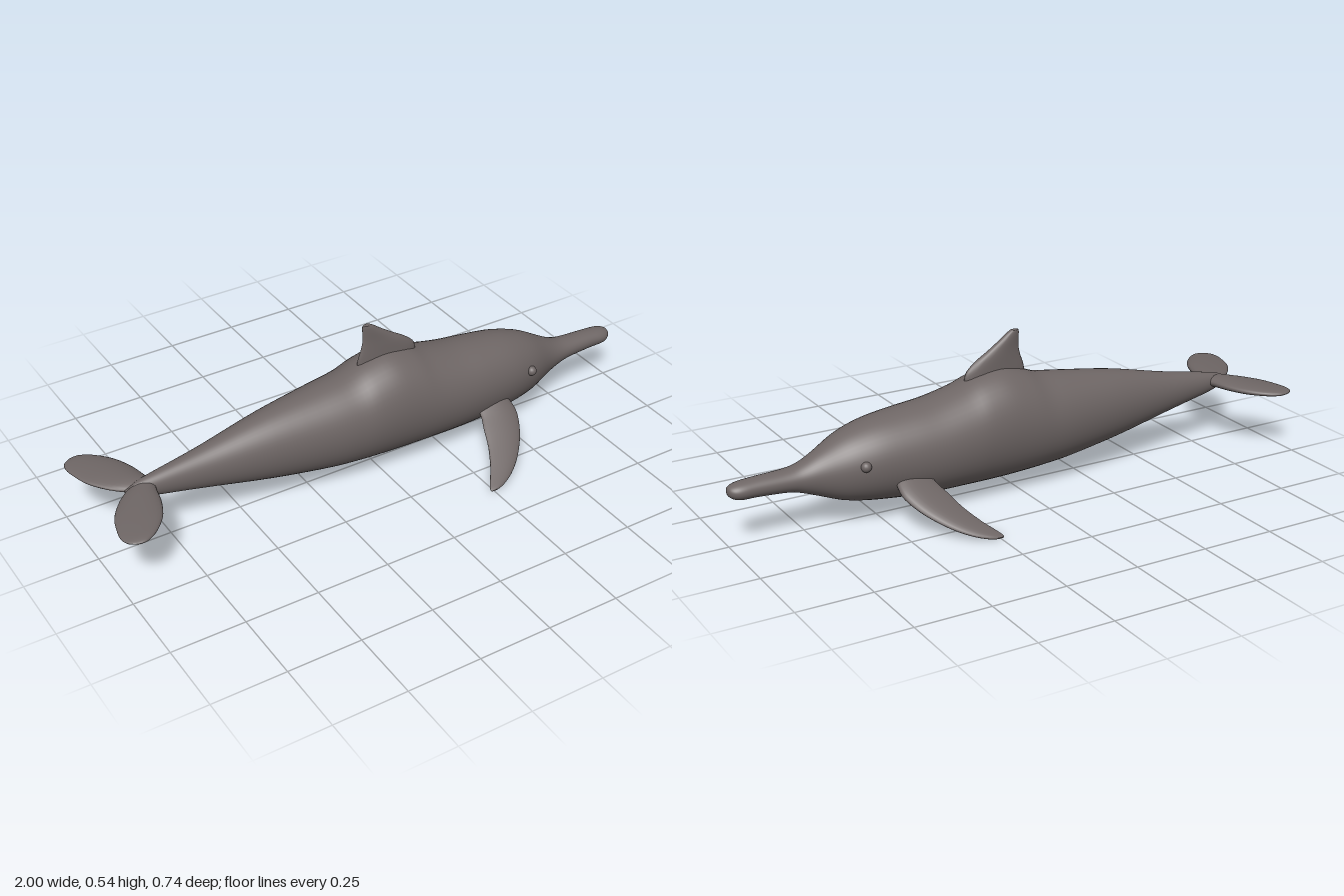
import * as THREE from 'three';

// Closed smooth skin over a list of equal-length rings of Vector3
function loft(rings) {
  const n = rings[0].length, pos = [], idx = [];
  rings.forEach(r => r.forEach(p => pos.push(p.x, p.y, p.z)));
  for (let i = 0; i < rings.length - 1; i++) {
    for (let j = 0; j < n; j++) {
      const a = i * n + j, b = i * n + (j + 1) % n;
      idx.push(a, b, a + n, b, b + n, a + n);
    }
  }
  // end caps
  [0, rings.length - 1].forEach((k, e) => {
    const c = new THREE.Vector3();
    rings[k].forEach(p => c.addScaledVector(p, 1 / n));
    const ci = pos.length / 3;
    pos.push(c.x, c.y, c.z);
    for (let j = 0; j < n; j++) {
      const a = k * n + j, b = k * n + (j + 1) % n;
      if (e) idx.push(a, b, ci); else idx.push(b, a, ci);
    }
  });
  // face outward whichever way the rings run
  const v = i => new THREE.Vector3().fromArray(pos, i * 3);
  let volume = 0;
  for (let i = 0; i < idx.length; i += 3) volume += v(idx[i]).dot(v(idx[i + 1]).cross(v(idx[i + 2])));
  if (volume < 0) idx.reverse();
  const g = new THREE.BufferGeometry();
  g.setAttribute('position', new THREE.Float32BufferAttribute(pos, 3));
  g.setIndex(idx);
  g.computeVertexNormals();
  return g;
}

// Smoothly resample rows of numbers, each column along a Catmull-Rom curve
function resample(rows, steps) {
  const out = [];
  for (let s = 0; s < rows.length - 1; s++) {
    for (let k = 0; k < steps; k++) {
      const t = k / steps;
      const at = i => rows[Math.min(Math.max(i, 0), rows.length - 1)];
      out.push(rows[s].map((_, c) => {
        const a = at(s - 1)[c], b = at(s)[c], d = at(s + 1)[c], e = at(s + 2)[c];
        const m0 = (d - a) / 2, m1 = (e - b) / 2;
        return b + m0 * t + (3 * (d - b) - 2 * m0 - m1) * t * t + (2 * (b - d) + m0 + m1) * t * t * t;
      }));
    }
  }
  out.push(rows[rows.length - 1]);
  return out;
}

// Fin from rows [span, leading x, trailing x, half thickness];
// place(span, offset) gives the y and z of a point
function fin(rows, place) {
  const N = 24;
  return loft(resample(rows, 4).map(([s, lead, trail, h]) => {
    const ring = [];
    for (let j = 0; j < N; j++) {
      const a = j / N * Math.PI * 2;
      const u = (1 - Math.cos(a)) / 2;                       // 0 leading, 1 trailing
      const off = h * Math.sin(a) * (1.2 - 0.55 * u);
      const [y, z] = place(s, off);
      ring.push(new THREE.Vector3(lead + (trail - lead) * u, y, z));
    }
    return ring;
  }));
}

export function createModel() {
  const model = new THREE.Group();
  const skin = new THREE.MeshStandardMaterial({ color: 0x6e6665 });
  skin.name = 'grey skin';
  const add = (name, geometry) => {
    const m = new THREE.Mesh(geometry, skin);
    m.name = name;
    model.add(m);
    return m;
  };

  // Body with beak: x, top, bottom, half width
  const sections = [
    [-0.89, 0.226, 0.212, 0.006], [-0.85, 0.243, 0.195, 0.019], [-0.8, 0.254, 0.18, 0.03],
    [-0.7, 0.272, 0.16, 0.044], [-0.6, 0.291, 0.14, 0.06], [-0.4, 0.335, 0.1, 0.096],
    [-0.2, 0.365, 0.07, 0.127], [-0.1, 0.38, 0.061, 0.138], [-0.03, 0.405, 0.056, 0.144],
    [0.05, 0.421, 0.052, 0.147], [0.13, 0.41, 0.051, 0.148], [0.2, 0.385, 0.052, 0.148],
    [0.3, 0.362, 0.053, 0.146], [0.4, 0.35, 0.057, 0.14], [0.5, 0.337, 0.066, 0.129],
    [0.57, 0.32, 0.075, 0.115], [0.63, 0.297, 0.088, 0.096], [0.7, 0.258, 0.114, 0.066],
    [0.75, 0.233, 0.133, 0.052], [0.8, 0.221, 0.147, 0.045], [0.9, 0.216, 0.154, 0.039],
    [0.95, 0.212, 0.155, 0.038], [0.975, 0.207, 0.16, 0.032], [0.99, 0.2, 0.17, 0.02],
    [0.995, 0.19, 0.18, 0.006],
  ];
  const M = 48;
  add('body', loft(resample(sections, 4).map(([x, top, bottom, w]) => {
    const ring = [], c = (top + bottom) / 2, h = (top - bottom) / 2;
    for (let j = 0; j < M; j++) {
      const a = j / M * Math.PI * 2, s = Math.sin(a), k = Math.cos(a);
      const wide = s < 0 ? Math.pow(Math.abs(k), 0.85) : Math.abs(k);   // fuller belly
      ring.push(new THREE.Vector3(x, c + h * s, w * Math.sign(k) * wide));
    }
    return ring;
  })));

  // Dorsal fin
  add('dorsalFin', fin([
    [0.37, 0.172, -0.056, 0.024], [0.415, 0.168, -0.05, 0.022], [0.45, 0.133, -0.038, 0.02],
    [0.48, 0.085, -0.031, 0.017], [0.51, 0.04, -0.031, 0.014], [0.53, 0.013, -0.032, 0.011],
    [0.539, -0.002, -0.03, 0.008],
  ], (s, o) => [s, o]));

  for (const [side, label] of [[1, 'left'], [-1, 'right']]) {
    // Flippers slope down and outward
    add(label + 'Flipper', fin([
      [0.09, 0.475, 0.36, 0.02], [0.14, 0.484, 0.352, 0.019], [0.18, 0.478, 0.336, 0.017],
      [0.24, 0.445, 0.314, 0.014], [0.3, 0.392, 0.281, 0.011], [0.34, 0.34, 0.252, 0.008],
      [0.362, 0.295, 0.238, 0.006], [0.37, 0.265, 0.24, 0.003],
    ], (s, o) => [0.136 - 0.54 * (s - 0.13) + 0.88 * o, side * (s + 0.47 * o)]));

    // Tail flukes lie flat
    add(label + 'Fluke', fin([
      [0, -0.79, -0.885, 0.021], [0.04, -0.802, -0.93, 0.021], [0.1, -0.815, -0.973, 0.019],
      [0.16, -0.839, -0.993, 0.016], [0.2, -0.867, -1, 0.013], [0.23, -0.898, -0.994, 0.01],
      [0.247, -0.925, -0.975, 0.006], [0.253, -0.94, -0.96, 0.002],
    ], (s, o) => [0.222 + o, side * s]));

    // Eyes
    const eye = add(label + 'Eye', new THREE.SphereGeometry(0.017, 20, 14));
    eye.position.set(0.58, 0.22, side * 0.111);
  }
  return model;
}
